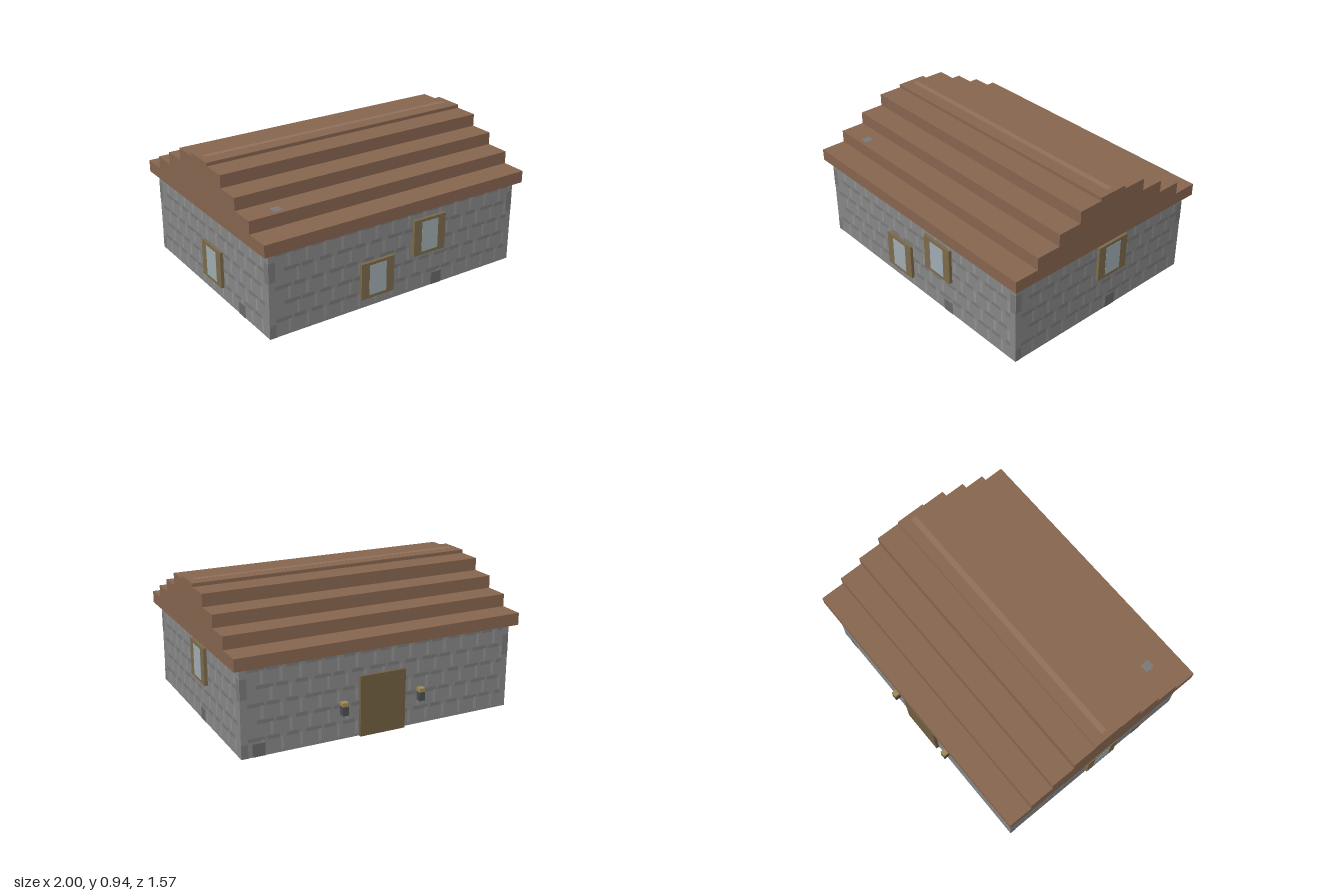
import * as THREE from 'three';
import { mergeGeometries } from 'three/addons/utils/BufferGeometryUtils.js';

const mat = (color) => new THREE.MeshStandardMaterial({ color });
const STONE = mat(0x868686), DARK_STONE = mat(0x787878), LIGHT_STONE = mat(0x919191);
const SLAB = mat(0x686868), ROOF = mat(0x86654f), RIDGE = mat(0x91705b);
const WOOD = mat(0x7b6a4b), DOOR = mat(0x6f5e41), GLASS = mat(0x9fabb2);
const IRON = mat(0x4a4d50), FLAME = mat(0xa08a50);

const HALF_X = 0.955, HALF_Z = 0.745, WALL_H = 0.578;

// Box given by its centre and size
function box(parent, name, material, [w, h, d], [x, y, z]) {
  const mesh = new THREE.Mesh(new THREE.BoxGeometry(w, h, d), material);
  mesh.position.set(x, y, z);
  mesh.name = name;
  parent.add(mesh);
  return mesh;
}

// Flat rectangle facing +z, given by its limits
function rect(x0, x1, y0, y1, z) {
  return new THREE.PlaneGeometry(x1 - x0, y1 - y0).translate((x0 + x1) / 2, (y0 + y1) / 2, z);
}

function addPatches(parent, name, material, rects) {
  const mesh = new THREE.Mesh(mergeGeometries(rects), material);
  mesh.name = name;
  parent.add(mesh);
}

// Staggered stone courses, quoins and one dark base stone on a wall face
function addStonework(face, half, dist, baseX) {
  const dark = [], light = [], z = dist + 0.0015;
  const end = half - 0.045, step = 0.127;
  for (let row = 0; row < 5; row++) {
    const y = 0.1 + row * 0.111;
    const shift = (row % 2) * 0.06;
    for (let i = 0; -end + shift + i * step < end - 0.03; i++) {
      const x = -end + shift + i * step;
      dark.push(rect(x, Math.min(x + (i % 3 ? 0.08 : 0.11), end), y, y + 0.024, z));
      light.push(rect(x + 0.085, Math.min(x + 0.105, end), y - 0.08, y + 0.005, z + 0.0005));
    }
  }
  // Corner stones
  dark.push(rect(-half, -end, 0.38, 0.51, z), rect(end, half, 0.37, 0.51, z));
  dark.push(rect(-half, -end, 0, 0.09, z));
  addPatches(face, 'darkStones', DARK_STONE, dark);
  addPatches(face, 'lightJoints', LIGHT_STONE, light);
  addPatches(face, 'baseStone', SLAB, [rect(baseX - 0.042, baseX + 0.042, 0, 0.086, z + 0.001)]);
}

// Shuttered window with a flush pane
function addWindow(face, x, y, dist) {
  const win = new THREE.Group();
  win.name = 'window';
  win.position.set(x, y, dist);
  box(win, 'windowFrame', WOOD, [0.252, 0.252, 0.022], [0, 0, 0.011]);
  box(win, 'windowPane', GLASS, [0.13, 0.21, 0.002], [0, 0, 0.0225]);
  face.add(win);
}

export function createModel() {
  const model = new THREE.Group();
  model.name = 'stoneCottage';
  box(model, 'walls', STONE, [HALF_X * 2, WALL_H, HALF_Z * 2], [0, WALL_H / 2, 0]);

  // The four wall faces: rotation, half width, distance, base stone, windows
  const faces = [
    ['frontWall', 0, HALF_X, HALF_Z, 0.315, [[-0.175, 0.195], [0.233, 0.386]]],
    ['leftWall', Math.PI / 2, HALF_Z, HALF_X, 0.083, [[0.063, 0.405]]],
    ['backWall', Math.PI, HALF_X, HALF_Z, -0.84, []],
    ['rightWall', -Math.PI / 2, HALF_Z, HALF_X, 0.41, [[0.05, 0.218]]],
  ];
  for (const [name, turn, half, dist, baseX, windows] of faces) {
    const face = new THREE.Group();
    face.name = name;
    face.rotation.y = turn;
    addStonework(face, half, dist, baseX);
    for (const [x, y] of windows) addWindow(face, x, y, dist);
    model.add(face);
  }

  // Door with a lantern on each side, on the back wall
  box(model, 'door', DOOR, [0.32, 0.404, 0.022], [0, 0.202, -HALF_Z - 0.011]);
  for (const side of [-1, 1]) {
    const lantern = new THREE.Group();
    lantern.name = 'lantern';
    lantern.position.set(side * 0.275, 0, -HALF_Z - 0.021);
    box(lantern, 'lanternBase', IRON, [0.04, 0.06, 0.042], [0, 0.2, 0]);
    box(lantern, 'lanternTop', FLAME, [0.04, 0.025, 0.042], [0, 0.2425, 0]);
    model.add(lantern);
  }

  // Stepped roof: half depth and top height of each tier
  const tiers = [[0.787, 0.66], [0.615, 0.745], [0.445, 0.83], [0.275, 0.915], [0.105, 0.938]];
  const side = [];
  let bottom = WALL_H;
  for (const [z, top] of tiers) {
    side.push([z, bottom], [z, top]);
    bottom = top;
  }
  const outline = [...side, ...side.map(([z, y]) => [-z, y]).reverse()];
  const shape = new THREE.Shape(outline.map(([z, y]) => new THREE.Vector2(z, y)));
  const roofGeo = new THREE.ExtrudeGeometry(shape, { depth: 2, bevelEnabled: false });
  roofGeo.translate(0, 0, -1).rotateY(Math.PI / 2);
  const roof = new THREE.Mesh(roofGeo, ROOF);
  roof.name = 'steppedRoof';
  model.add(roof);

  // Pale ridge strip and a loose stone on the roof
  box(model, 'ridgeStrip', RIDGE, [1.92, 0.002, 0.04], [0, 0.938, -0.004]);
  box(model, 'roofStone', DARK_STONE, [0.06, 0.002, 0.065], [-0.78, 0.745, 0.557]);
  return model;
}
